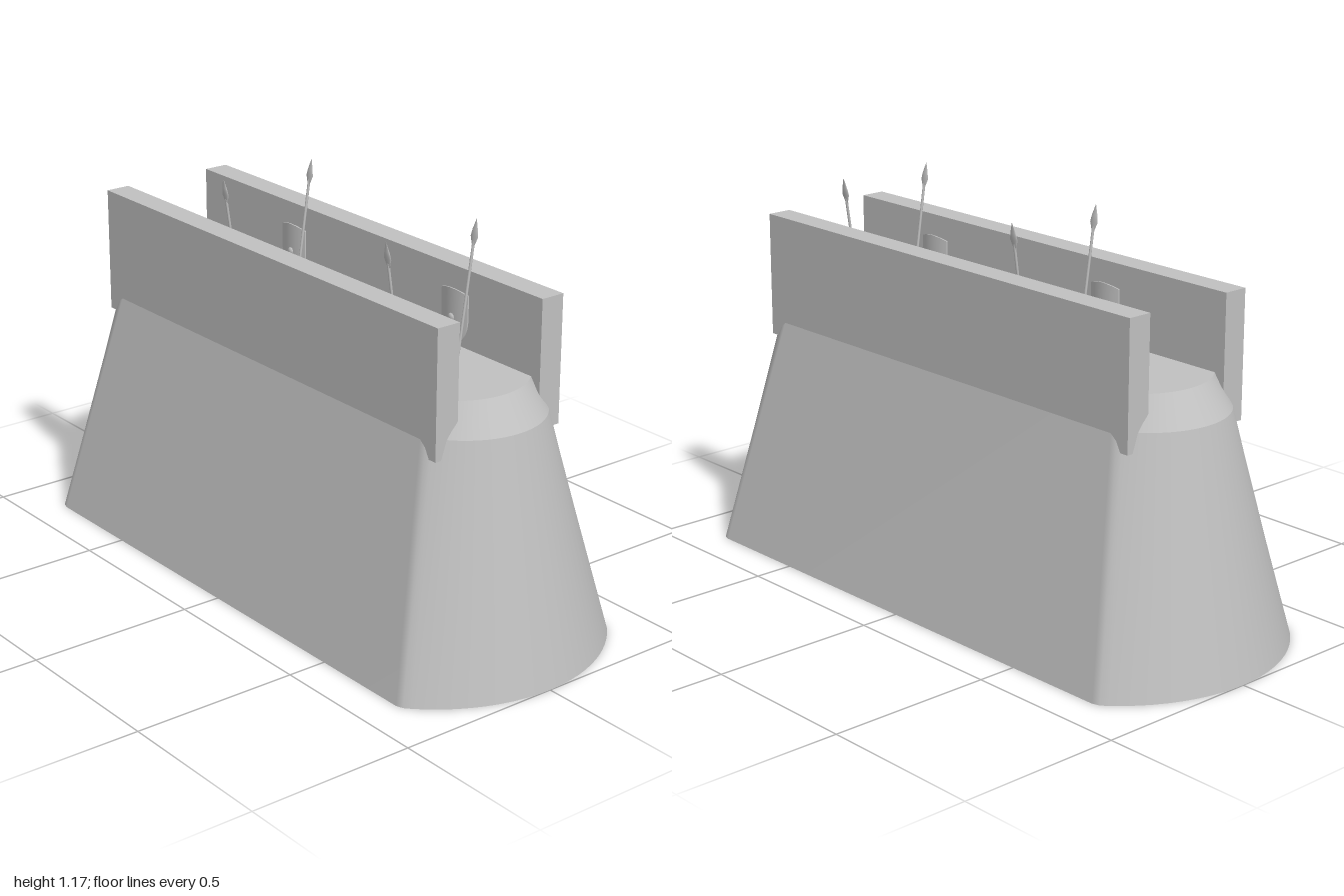
import * as THREE from 'three';

const stone = new THREE.MeshStandardMaterial({ color: 0xc0c0c0, side: THREE.DoubleSide });
stone.name = 'grey stone';

function mesh(name, geometry) {
  const m = new THREE.Mesh(geometry, stone);
  m.name = name;
  return m;
}

// Body levels: height, half length, half depth, radius of the rounded end, end of the straight side
const levels = [
  { y: 0, hx: 1, hz: 0.383, r: 0.507, flat: 0.81 },
  { y: 0.7, hx: 0.85, hz: 0.218, r: 0.238, flat: 0.7 },
  { y: 0.79, hx: 0.785, hz: 0.168, r: 0.22, flat: 0.69 },
];

// Closed outline: one quarter (arc, then blunt corner) mirrored to the other three
function ring({ y, hx, hz, r, flat }) {
  const quarter = [];
  const end = Math.asin(0.94 * hz / r);
  for (let i = 0; i <= 10; i++) {
    const a = end * i / 10;
    quarter.push([hx - r * (1 - Math.cos(a)), r * Math.sin(a)]);
  }
  const [kx, kz] = quarter[10];
  quarter.push([kx * 0.55 + flat * 0.45, kz * 0.3 + hz * 0.7], [flat, hz]);
  const half = [...quarter, ...quarter.slice(1).reverse().map(([x, z]) => [-x, z])];
  half.push([-hx, 0]);
  // drop the repeated tip, then mirror front to back
  half.splice(half.length - 1, 1);
  const tip = [-hx, 0];
  const back = half.slice(1).reverse().map(([x, z]) => [x, -z]);
  return [...half, tip, ...back].map(([x, z]) => new THREE.Vector3(x, y, z));
}

function band(low, high) {
  const n = low.length, index = [];
  for (let i = 0; i < n; i++) {
    const j = (i + 1) % n;
    index.push(i, n + i, j, j, n + i, n + j);
  }
  const g = new THREE.BufferGeometry().setFromPoints([...low, ...high]);
  g.setIndex(index);
  g.computeVertexNormals();
  return g;
}

function cap(loop) {
  const n = loop.length, index = [];
  for (let i = 0; i < n; i++) index.push(n, (i + 1) % n, i);
  const g = new THREE.BufferGeometry().setFromPoints([...loop, new THREE.Vector3(0, loop[0].y, 0)]);
  g.setIndex(index);
  g.computeVertexNormals();
  return g;
}

// Spear standing on the walkway, with a flattened leaf head
function spear() {
  const g = new THREE.Group();
  g.name = 'spear';
  const shaft = mesh('spearShaft', new THREE.CylinderGeometry(0.004, 0.004, 0.32, 8));
  shaft.position.y = 0.16;
  const profile = [[0.004, 0.305], [0.015, 0.332], [0.011, 0.352], [0, 0.384]];
  const head = mesh('spearHead', new THREE.LatheGeometry(
    profile.map(([x, y]) => new THREE.Vector2(x, y)), 8));
  head.scale.z = 0.3;
  g.add(shaft, head);
  return g;
}

// Bowed shield, narrowing to a point at the bottom
function shield() {
  const g = new THREE.Group();
  g.name = 'shield';
  const plate = new THREE.BoxGeometry(0.11, 0.17, 0.004, 10, 12, 1);
  const p = plate.attributes.position;
  for (let i = 0; i < p.count; i++) {
    const u = p.getX(i) / 0.055, v = p.getY(i) / 0.085;
    const width = v < 0 ? Math.sqrt(Math.max(0, 1 - v * v * 0.98)) : 1;
    const x = u * width;
    p.setXYZ(i, x * 0.055, p.getY(i) - (v > 0.9 ? 0.012 * u * u : 0),
      p.getZ(i) - 0.012 * (1 - x * x));
  }
  plate.computeVertexNormals();
  const boss = mesh('shieldBoss', new THREE.SphereGeometry(0.012, 12, 8));
  boss.position.z = -0.013;
  boss.scale.z = 0.6;
  g.add(mesh('shieldPlate', plate), boss);
  return g;
}

export function createModel() {
  const model = new THREE.Group();
  model.name = 'fortifiedWall';

  // Sloping hollow body with a flat walkway
  const rings = levels.map(ring);
  model.add(
    mesh('slopedBase', band(rings[0], rings[1])),
    mesh('shoulder', band(rings[1], rings[2])),
    mesh('walkway', cap(rings[2])));

  // Parapet and weapons for each side; the back is the front turned to face inward
  for (const side of [1, -1]) {
    const parapet = mesh('parapet', new THREE.BoxGeometry(1.53, 0.375, 0.075));
    parapet.position.set(0, 0.8325, side * 0.1825);
    model.add(parapet);

    for (const x of [-0.25, 0.48]) {
      const s = spear();
      s.position.set(x, 0.79, side * 0.104);
      s.rotation.x = side * 0.147;
      const d = shield();
      d.position.set(x - 0.06, 0.875, side * 0.141);
      if (side < 0) d.rotation.y = Math.PI;
      model.add(s, d);
    }
  }
  return model;
}
